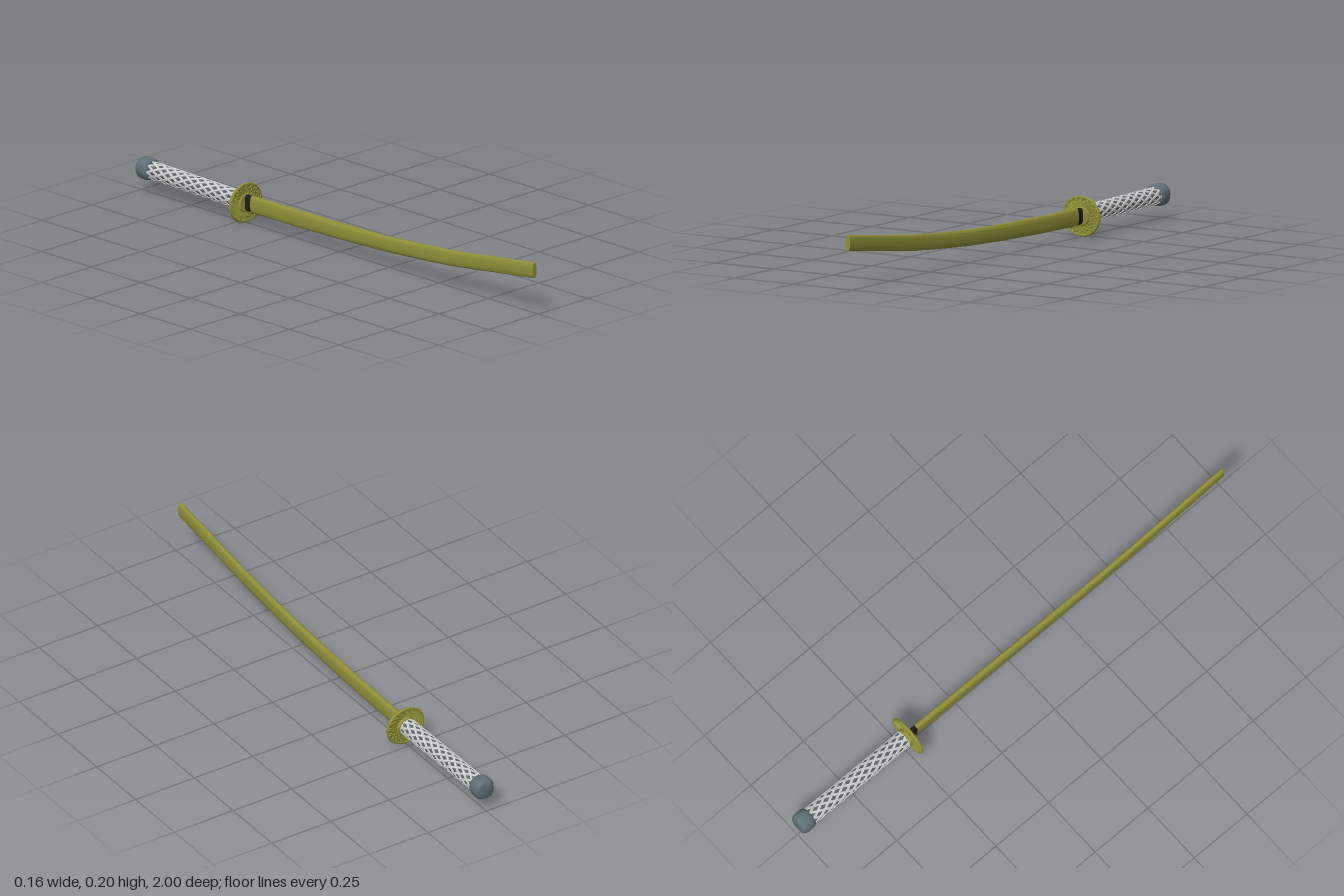
import * as THREE from 'three';
import { toCreasedNormals } from 'three/addons/utils/BufferGeometryUtils.js';
import { ParametricGeometry } from 'three/addons/geometries/ParametricGeometry.js';

const mat = (color, side = THREE.FrontSide) => new THREE.MeshStandardMaterial({ color, side });

// Skin through superellipse sections [z, x, y, halfWidth, halfHeight], z rising
function loft(stations, power = 2, n = 32) {
  const pos = [], idx = [];
  const bend = v => Math.sign(v) * Math.abs(v) ** (2 / power);
  for (const [z, x, y, w, h] of stations) {
    for (let i = 0; i < n; i++) {
      const a = (i / n) * Math.PI * 2;
      pos.push(x + w * bend(Math.cos(a)), y + h * bend(Math.sin(a)), z);
    }
  }
  for (let s = 0; s < stations.length - 1; s++) {
    for (let i = 0; i < n; i++) {
      const j = (i + 1) % n;
      const a = s * n + i, b = s * n + j, c = b + n, d = a + n;
      if (stations[s][3] > 0) idx.push(a, b, c);
      if (stations[s + 1][3] > 0) idx.push(a, c, d);
      else idx.push(a, b, d);
    }
  }
  const g = new THREE.BufferGeometry();
  g.setAttribute('position', new THREE.Float32BufferAttribute(pos, 3));
  g.setIndex(idx);
  return toCreasedNormals(g, 0.6);
}

// Close both ends of a list of sections
const capped = list => {
  const flat = ([z, x, y]) => [z, x, y, 0, 0];
  return [flat(list[0]), ...list, flat(list[list.length - 1])];
};

// Round guard with a swirl of sloping blades on both faces
function guardGeometry() {
  const profile = [
    [0, -0.011], [0.034, -0.011], [0.037, -0.004], [0.045, -0.004], [0.055, -0.004],
    [0.064, -0.004], [0.071, -0.004], [0.073, -0.006], [0.078, -0.005], [0.08, 0],
    [0.078, 0.005], [0.073, 0.006], [0.071, 0.004], [0.064, 0.004], [0.055, 0.004],
    [0.045, 0.004], [0.037, 0.004], [0.034, 0.008], [0, 0.008],
  ].map(p => new THREE.Vector2(...p));
  const g = new THREE.LatheGeometry(profile, 144);
  g.rotateX(Math.PI / 2);
  const p = g.attributes.position;
  for (let i = 0; i < p.count; i++) {
    const x = p.getX(i), y = p.getY(i), r = Math.hypot(x, y);
    if (r > 0.036 && r < 0.072) {
      const t = (Math.atan2(y, x) / (Math.PI * 2)) * 18 + (r - 0.036) * 50;
      const saw = t - Math.floor(t);
      p.setZ(i, p.getZ(i) * (0.25 + 1.2 * saw));
    }
    p.setY(i, y * 0.92);
  }
  g.deleteAttribute('uv');
  g.deleteAttribute('normal');
  return toCreasedNormals(g, 0.5);
}

const GRIP_FRONT = -0.482, GRIP_BACK = -0.95;
const gripY = t => 0.077 + 0.008 * t;

// One flat cord winding along the grip
function cordGeometry(start, turns, lift) {
  const half = 0.0058;
  const section = [[-1, 0], [-0.7, 1], [0.7, 1], [1, 0]];
  return new ParametricGeometry((u, v, target) => {
    const [side, up] = section[Math.round(v * 3)];
    const a = start + u * turns * Math.PI * 2 + (side * half) / 0.033;
    const r = 0.0305 + up * (0.0025 + lift);
    target.set(r * Math.cos(a), gripY(u) + r * Math.sin(a), THREE.MathUtils.lerp(GRIP_FRONT, GRIP_BACK, u));
  }, 48, 3);
}

export function createModel() {
  const model = new THREE.Group();
  const add = (name, geometry, material, parent = model) => {
    const mesh = new THREE.Mesh(geometry, material);
    mesh.name = name;
    parent.add(mesh);
    return mesh;
  };
  const olive = mat(0x8f8e38), steel = mat(0x5f7077), black = mat(0x1c1c1c);
  const coreGrey = mat(0x5c6266), cordGrey = mat(0xcccccc, THREE.DoubleSide);

  // Curved scabbard, drifting slightly sideways toward the tip
  add('scabbard', loft(capped([
    [-0.44, 0, 0.075, 0.0125, 0.032],
    [-0.2, -0.002, 0.0765, 0.0125, 0.0315],
    [0.02, -0.005, 0.081, 0.0125, 0.0305],
    [0.24, -0.008, 0.0885, 0.012, 0.0295],
    [0.4, -0.0105, 0.1, 0.0115, 0.0295],
    [0.58, -0.013, 0.115, 0.011, 0.0295],
    [0.8, -0.016, 0.143, 0.0105, 0.029],
    [0.99, -0.018, 0.167, 0.01, 0.029],
    [1, -0.018, 0.168, 0.009, 0.028],
  ]), 2.8), olive);

  // Dark collar between scabbard and guard
  add('collar', loft(capped([
    [-0.475, 0, 0.075, 0.0115, 0.03],
    [-0.44, 0, 0.075, 0.0115, 0.03],
  ]), 2.8), black);

  // Guard and the ferrule behind it
  add('guard', guardGeometry(), olive).position.set(0, 0.074, -0.476);
  add('ferrule', loft(capped([
    [-0.494, 0, 0.0775, 0.035, 0.035],
    [-0.478, 0, 0.077, 0.036, 0.036],
  ])), olive);

  // Grip core with crossing cords
  add('gripCore', loft(capped([
    [GRIP_BACK, 0, gripY(1), 0.031, 0.031],
    [GRIP_FRONT, 0, gripY(0), 0.031, 0.031],
  ])), coreGrey);
  const wrap = new THREE.Group();
  wrap.name = 'gripWrap';
  model.add(wrap);
  const cords = 8;
  for (let i = 0; i < cords; i++) {
    for (const dir of [1, -1]) {
      add('cord', cordGeometry((i / cords) * Math.PI * 2, dir * 1.15, dir > 0 ? 0.0006 : 0), cordGrey, wrap);
    }
  }

  // Rounded pommel
  add('pommel', loft(capped([
    [-1, 0, 0.087, 0.026, 0.026],
    [-0.997, 0, 0.087, 0.033, 0.034],
    [-0.989, 0, 0.087, 0.038, 0.039],
    [-0.976, 0, 0.087, 0.04, 0.041],
    [-0.955, 0, 0.087, 0.039, 0.04],
    [-0.946, 0, 0.087, 0.037, 0.037],
    [-0.942, 0, 0.087, 0.033, 0.033],
  ]), 2.3), steel);

  return model;
}
